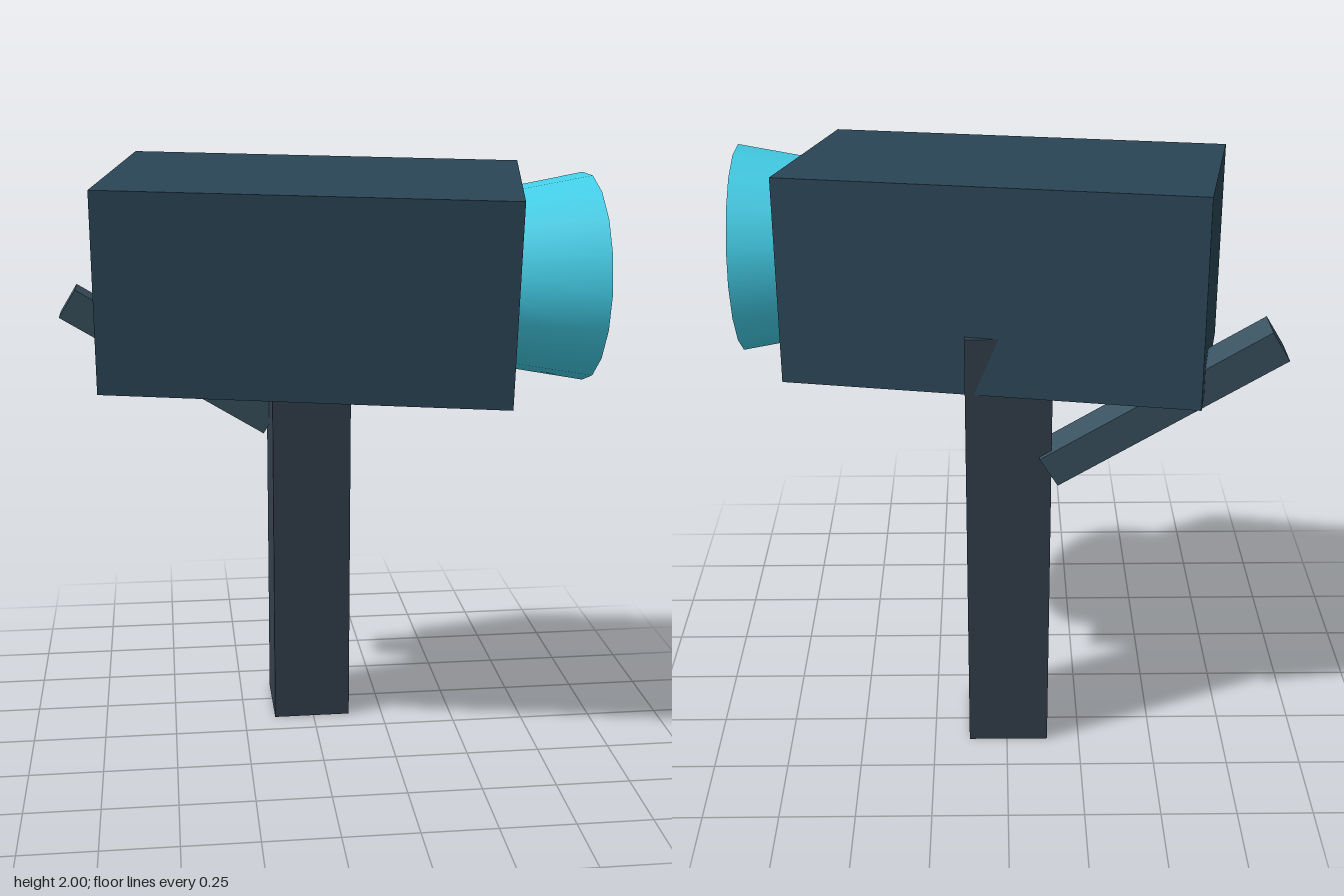
import * as THREE from 'three';

export function createModel() {
  const model = new THREE.Group();

  const addPart = (name, geometry, color, position, rotation = [0, 0, 0], flatShading = true) => {
    const mesh = new THREE.Mesh(geometry, new THREE.MeshStandardMaterial({ color, flatShading }));
    mesh.name = name;
    mesh.position.set(...position);
    mesh.rotation.set(...rotation);
    model.add(mesh);
  };

  // Upright post, its top buried in the housing
  addPart('post', new THREE.BoxGeometry(0.27, 1.53, 0.27), 0x333f4d, [-0.005, 0.765, -0.23]);

  // Sloping brace behind the post
  addPart('brace', new THREE.BoxGeometry(0.82, 0.111, 0.125), 0x3a5260,
    [-0.48, 1.293, -0.318], [0, 0, -0.553]);

  // Camera housing, tilted forward and turned
  addPart('housing', new THREE.BoxGeometry(1.31, 0.65, 0.711), 0x2a4555,
    [-0.007, 1.64, 0.001], [0.0816, -0.196, 0]);

  // Flared lens pointing along +x
  addPart('lens', new THREE.CylinderGeometry(0.335, 0.262, 0.4, 18), 0x44d0ea,
    [0.655, 1.638, 0.135], [0, 0, -Math.PI / 2], false);

  return model;
}
